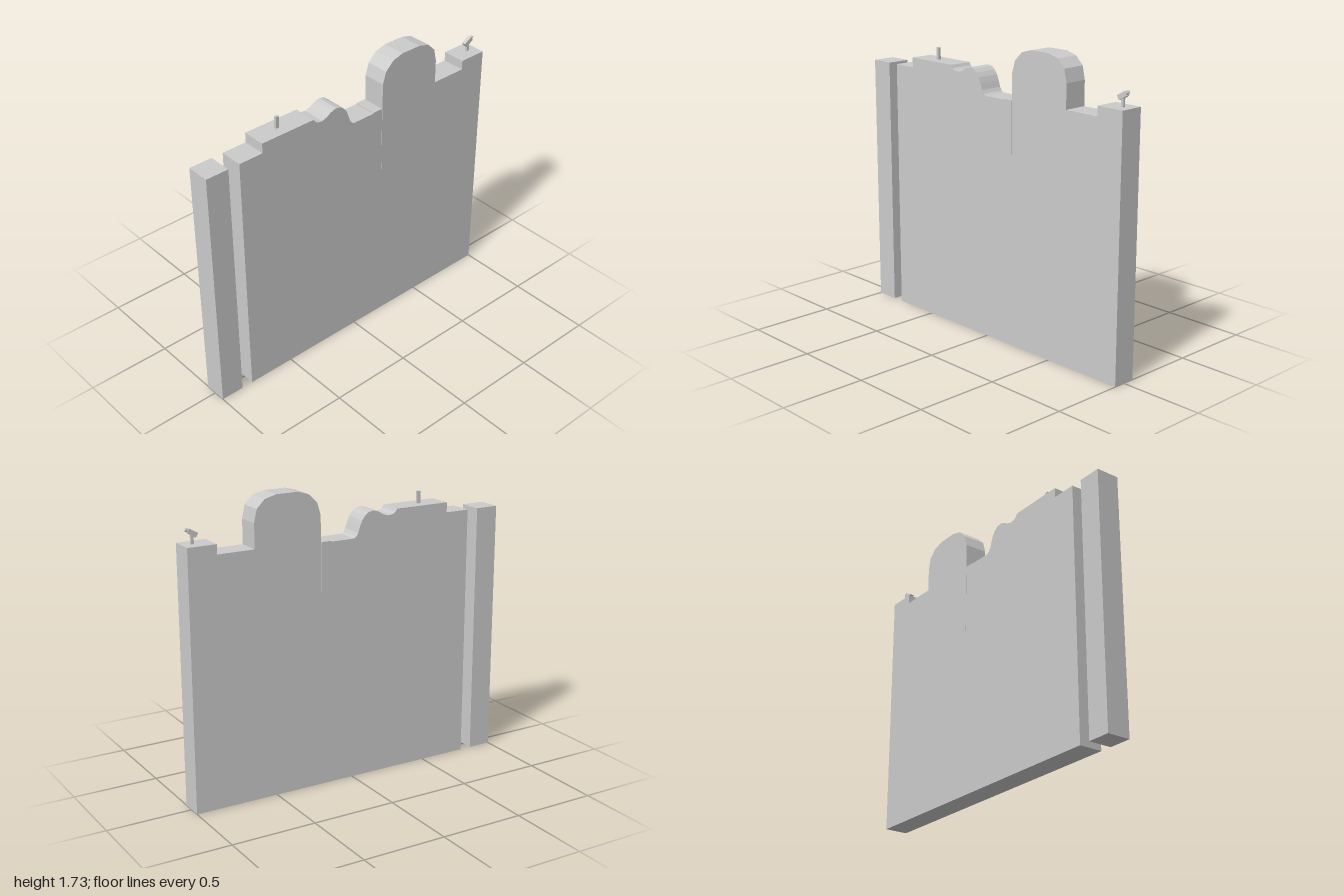
import * as THREE from 'three';

const DEPTH = 0.14;

export function createModel() {
  const root = new THREE.Group();
  const mat = new THREE.MeshStandardMaterial({ color: 0xcccccc, flatShading: true });

  function add(name, geometry, x = 0, y = 0, z = 0, tilt = 0, parent = root) {
    const mesh = new THREE.Mesh(geometry, mat);
    mesh.name = name;
    mesh.position.set(x, y, z);
    mesh.rotation.z = tilt;
    parent.add(mesh);
    return mesh;
  }

  // free-standing gate post
  add('gatePost', new THREE.BoxGeometry(0.14, 1.51, DEPTH), -0.93, 0.755);

  // wall silhouette: stepped parapet, wave, narrow crack, rounded crest
  const outline = [
    [-0.79, 0], [1, 0], [1, 1.503], [0.83, 1.503], [0.83, 1.447], [0.61, 1.447],
    // rounded crest, right to left
    [0.61, 1.588], [0.593, 1.663], [0.545, 1.711], [0.475, 1.73],
    [0.345, 1.73], [0.278, 1.711], [0.225, 1.66], [0.203, 1.588],
    // crack beside the crest
    [0.203, 1.43], [0.202, 0.9], [0.2, 1.436],
    [0.135, 1.436], [0.135, 1.431], [-0.01, 1.431],
    // wave
    [-0.025, 1.44], [-0.038, 1.46], [-0.05, 1.495], [-0.064, 1.528], [-0.083, 1.553],
    [-0.105, 1.57], [-0.135, 1.576], [-0.16, 1.571], [-0.18, 1.562], [-0.203, 1.547],
    [-0.235, 1.537], [-0.265, 1.54], [-0.285, 1.552], [-0.295, 1.569],
    // raised parapet and shoulder
    [-0.64, 1.569], [-0.64, 1.51], [-0.79, 1.51],
  ];
  const shape = new THREE.Shape(outline.map(([x, y]) => new THREE.Vector2(x, y)));
  const wall = new THREE.ExtrudeGeometry(shape, { depth: DEPTH, bevelEnabled: false });
  add('wall', wall, 0, 0, -DEPTH / 2);

  // little upright peg on the parapet
  add('peg', new THREE.BoxGeometry(0.02, 0.08, 0.016), -0.487, 1.6);

  // tilted lamp head on a short stem
  const lamp = new THREE.Group();
  lamp.name = 'lamp';
  root.add(lamp);
  add('lampStem', new THREE.BoxGeometry(0.016, 0.06, 0.014), 0.94, 1.527, 0, 0, lamp);
  add('lampHead', new THREE.BoxGeometry(0.058, 0.028, 0.024), 0.94, 1.563, 0, Math.PI / 6, lamp);
  add('lampNose', new THREE.CylinderGeometry(0.01, 0.01, 0.02, 10), 0.968, 1.58, 0, Math.PI / 6 - Math.PI / 2, lamp);

  return root;
}
